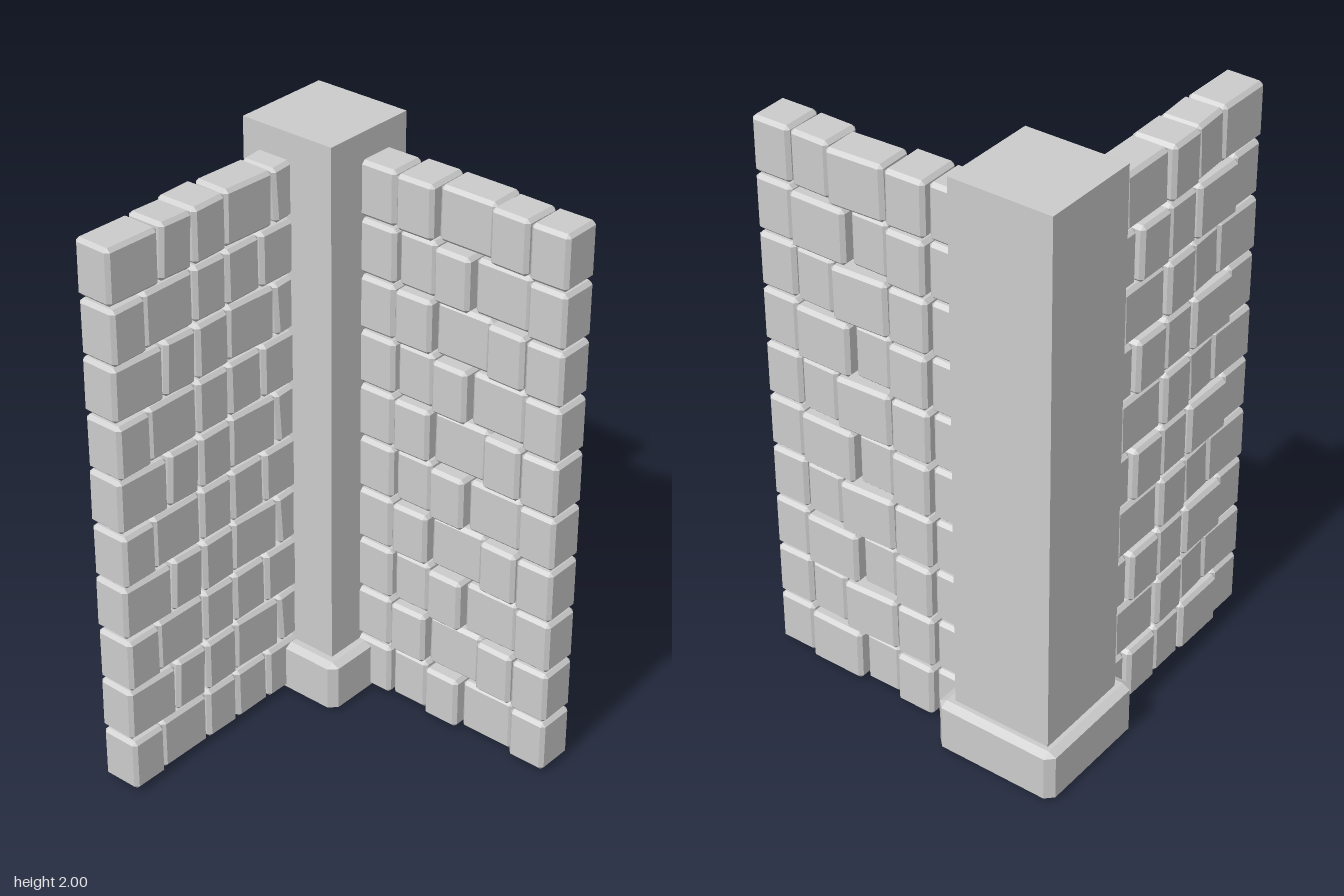
import * as THREE from 'three';
import { ConvexGeometry } from 'three/addons/geometries/ConvexGeometry.js';

const stone = new THREE.MeshStandardMaterial({ color: 0xcccccc, flatShading: true });

// Box with every edge chamfered; c is the inset along x, y and z
function chamferedBox(w, h, d, c) {
  const points = [];
  for (const sx of [-1, 1]) for (const sy of [-1, 1]) for (const sz of [-1, 1]) {
    for (let face = 0; face < 3; face++) {
      points.push(new THREE.Vector3(
        sx * (w / 2 - (face === 0 ? 0 : c[0])),
        sy * (h / 2 - (face === 1 ? 0 : c[1])),
        sz * (d / 2 - (face === 2 ? 0 : c[2]))));
    }
  }
  return new ConvexGeometry(points);
}

// Stones of one course: [start, end, near side, far side, roll, yaw]
const backCourses = [
  [
    [-0.575, -0.44, -0.48, -0.34, 0, 0],
    [-0.437, -0.235, -0.497, -0.35, 0, 0],
    [-0.23, -0.095, -0.49, -0.348, -0.01, 0],
    [-0.09, 0.054, -0.497, -0.35, 0.01, 0],
    [0.058, 0.25, -0.48, -0.347, 0, 0],
  ],
  [
    [-0.575, -0.372, -0.482, -0.347, -0.01, 0.02],
    [-0.368, -0.235, -0.482, -0.346, -0.05, -0.02],
    [-0.23, -0.092, -0.496, -0.346, 0, -0.02],
    [-0.088, 0.114, -0.482, -0.35, -0.02, 0.02],
    [0.122, 0.26, -0.482, -0.35, 0.07, 0],
  ],
];
const sideCourses = [
  [
    [0.432, 0.568, 0.327, 0.466, 0, 0],
    [0.226, 0.426, 0.35, 0.484, 0, 0],
    [0.088, 0.22, 0.324, 0.46, 0, 0],
    [-0.058, 0.08, 0.345, 0.485, 0, 0],
    [-0.21, -0.062, 0.33, 0.466, 0, 0],
  ],
  [
    [0.432, 0.568, 0.325, 0.466, 0, 0.015],
    [0.288, 0.426, 0.328, 0.467, 0, -0.015],
    [0.083, 0.283, 0.354, 0.484, 0.015, 0.03],
    [-0.06, 0.078, 0.325, 0.482, 0, 0.02],
    [-0.21, -0.066, 0.33, 0.466, 0, 0.015],
  ],
];

const ROWS = 10, PITCH = 0.1905, HEIGHT = 0.183;

// Stack the two alternating courses along x or z
function buildWall(name, courses, alongX) {
  const wall = new THREE.Group();
  wall.name = name;
  const shapes = courses.map(course => course.map(([a, b, n, f]) => alongX
    ? chamferedBox(b - a, HEIGHT, f - n, [0.012, 0.012, 0.012])
    : chamferedBox(f - n, HEIGHT, b - a, [0.012, 0.012, 0.012])));
  for (let row = 0; row < ROWS; row++) {
    courses[row % 2].forEach(([a, b, n, f, roll, yaw], i) => {
      const brick = new THREE.Mesh(shapes[row % 2][i], stone);
      brick.name = 'wallStone';
      const y = 0.012 + row * PITCH + HEIGHT / 2;
      if (alongX) {
        brick.position.set((a + b) / 2, y, (n + f) / 2);
        brick.rotation.set(0, -yaw, roll);
      } else {
        brick.position.set((n + f) / 2, y, (a + b) / 2);
        brick.rotation.set(roll, yaw, 0);
      }
      wall.add(brick);
    });
  }
  return wall;
}

export function createModel() {
  const model = new THREE.Group();
  model.name = 'stoneWallCorner';

  // Plain square corner post
  const post = new THREE.Mesh(new THREE.BoxGeometry(0.345, 1.995, 0.345), stone);
  post.name = 'cornerPost';
  post.position.set(0.362, 1.0025, -0.362);
  model.add(post);

  // Chamfered plinth around the foot of the post
  const plinth = new THREE.Mesh(chamferedBox(0.434, 0.182, 0.434, [0.026, 0.014, 0.026]), stone);
  plinth.name = 'postPlinth';
  plinth.position.set(0.358, 0.091, -0.358);
  model.add(plinth);

  // Two wall leaves meeting at the post
  model.add(buildWall('backWall', backCourses, true));
  model.add(buildWall('sideWall', sideCourses, false));
  return model;
}
